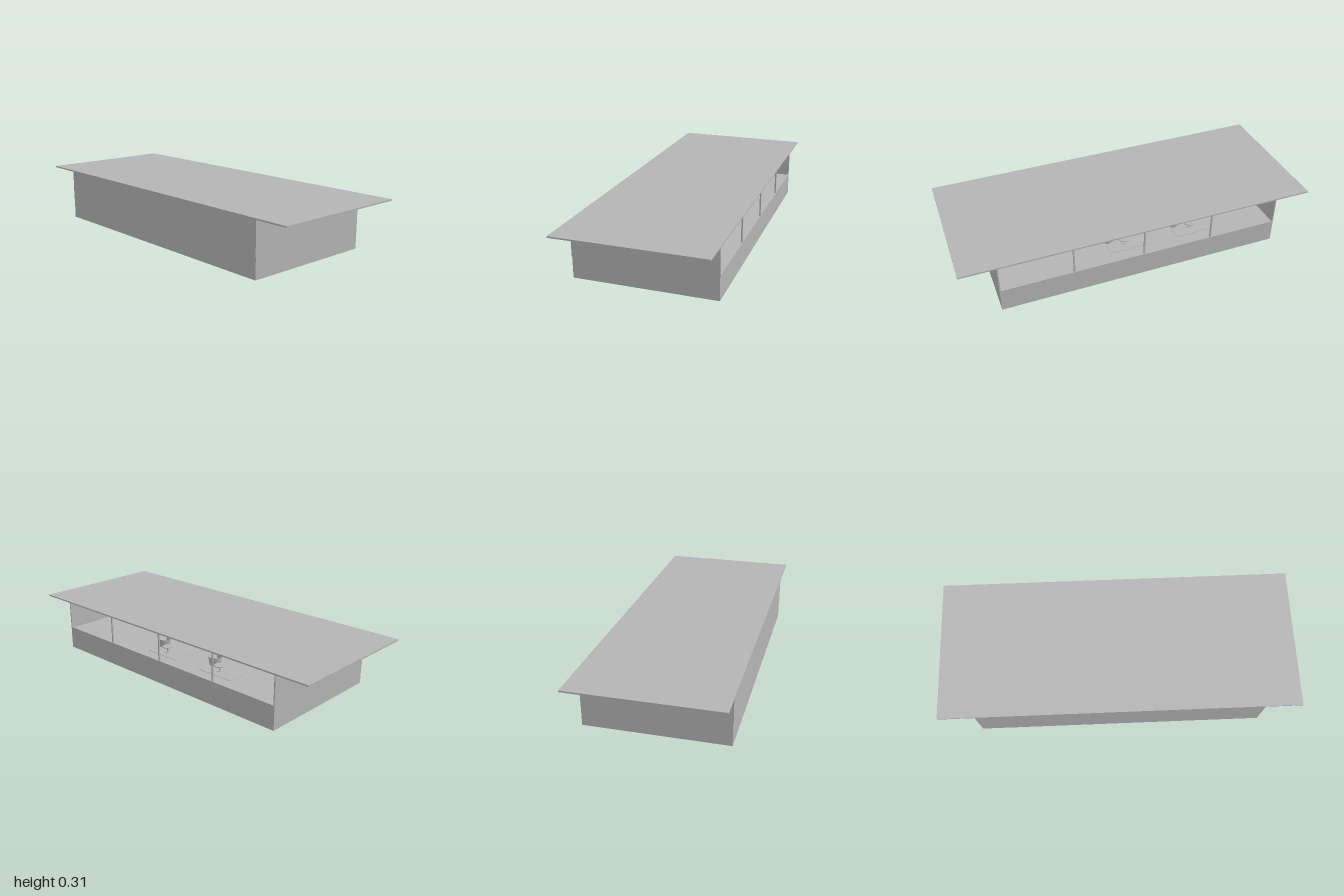
import * as THREE from 'three';

export function createModel() {
  const model = new THREE.Group();
  const grey = new THREE.MeshStandardMaterial({ color: 0xb4b4b4, side: THREE.DoubleSide });
  grey.name = 'plain grey';

  const add = (parent, name, geometry, x = 0, y = 0, z = 0) => {
    const mesh = new THREE.Mesh(geometry, grey);
    mesh.name = name;
    mesh.position.set(x, y, z);
    parent.add(mesh);
    return mesh;
  };
  // box given by its lower and upper limits on each axis
  const box = (parent, name, x0, x1, y0, y1, z0, z1) =>
    add(parent, name, new THREE.BoxGeometry(x1 - x0, y1 - y0, z1 - z0),
      (x0 + x1) / 2, (y0 + y1) / 2, (z0 + z1) / 2);
  const group = (name, x, y, z) => {
    const g = new THREE.Group();
    g.name = name;
    g.position.set(x, y, z);
    model.add(g);
    return g;
  };

  const floorY = 0.128, roofY = 0.297;

  // shell: plinth, floor, roof and three closed walls, open toward +x
  box(model, 'plinth', -0.386, 0.385, 0, 0.115, -0.805, 0.805);
  box(model, 'floor', -0.383, 0.385, 0.115, floorY, -0.8, 0.8);
  box(model, 'roof', -0.4, 0.4, roofY, 0.305, -1, 1);
  box(model, 'backWall', -0.388, -0.38, 0.115, roofY, -0.805, 0.805);
  for (const s of [-1, 1]) {
    const wall = box(model, 'endWall', -0.388, 0.385, 0.115, roofY, -0.0035, 0.0035);
    wall.position.z = s * 0.8015;
  }

  // window frame on the open side
  box(model, 'sill', 0.379, 0.386, floorY, 0.133, -0.798, 0.798);
  box(model, 'headRail', 0.375, 0.384, 0.288, roofY, -0.798, 0.798);
  box(model, 'innerRail', 0.33, 0.338, 0.288, roofY, -0.78, 0.78);
  for (const z of [-0.4, 0, 0.4])
    box(model, 'mullion', 0.376, 0.384, floorY, roofY, z - 0.004, z + 0.004);

  // shelves on the back wall
  for (const s of [-1, 1]) {
    for (const y of [0.2, 0.23, 0.257])
      box(model, 'shelf', -0.38, -0.34, y, y + 0.004, s * 0.095 - 0.09, s * 0.095 + 0.09);
    for (const z of [0.075, 0.125])
      box(model, 'shelfUpright', -0.378, -0.345, 0.195, 0.275, s * z - 0.003, s * z + 0.003);
  }
  box(model, 'wallLamp', -0.38, -0.36, 0.253, 0.261, -0.37, -0.33);
  box(model, 'tallCabinet', -0.38, -0.31, floorY, 0.235, 0.005, 0.08);

  // two seating areas, each with rug, barrel chair, round table and sofa
  for (const z of [0, -0.4]) {
    const area = group('seatingArea', 0, floorY, z);
    box(area, 'rug', 0.02, 0.31, 0, 0.002, -0.06, 0.17);

    const chair = new THREE.Group();
    chair.name = 'barrelChair';
    chair.position.set(0.2, 0, 0.15);
    area.add(chair);
    add(chair, 'chairSeat', new THREE.CylinderGeometry(0.033, 0.028, 0.022, 20), 0, 0.013, 0);
    add(chair, 'chairBack',
      new THREE.CylinderGeometry(0.038, 0.032, 0.045, 20, 1, true, Math.PI * 0.35, Math.PI * 1.3), 0, 0.026, 0);

    add(area, 'tableTop', new THREE.CylinderGeometry(0.03, 0.03, 0.004, 24), 0.25, 0.032, 0.07);
    add(area, 'tableStem', new THREE.CylinderGeometry(0.005, 0.005, 0.03, 12), 0.25, 0.016, 0.07);
    add(area, 'tableFoot', new THREE.CylinderGeometry(0.018, 0.018, 0.003, 24), 0.25, 0.003, 0.07);

    box(area, 'sofaSeat', 0.0, 0.07, 0.006, 0.026, -0.1, 0.02);
    box(area, 'sofaBack', -0.015, 0.0, 0.006, 0.052, -0.1, 0.02);
    for (const e of [-0.1, 0.01])
      box(area, 'sofaArm', 0.0, 0.07, 0.006, 0.038, e, e + 0.01);
  }

  // row of low armchairs further in
  for (const z of [0.32, 0.25, 0.18, -0.23, -0.43, -0.5]) {
    const chair = group('armchair', -0.12, floorY, z);
    box(chair, 'seat', -0.03, 0.03, 0.004, 0.022, -0.025, 0.025);
    box(chair, 'backrest', -0.038, -0.03, 0.004, 0.05, -0.028, 0.028);
    for (const s of [-1, 1])
      box(chair, 'armrest', -0.03, 0.025, 0.004, 0.035, s * 0.028 - 0.003, s * 0.028 + 0.003);
  }

  // desk
  const desk = group('desk', -0.15, floorY, -0.1);
  box(desk, 'deskTop', -0.035, 0.035, 0.034, 0.038, -0.055, 0.055);
  for (const s of [-1, 1])
    box(desk, 'deskLeg', -0.03, 0.03, 0, 0.034, s * 0.045 - 0.003, s * 0.045 + 0.003);

  // potted plants with spread leaves in the end bays
  for (const z of [-0.635, 0.635]) {
    const plant = group('plant', -0.2, floorY, z);
    add(plant, 'pot', new THREE.CylinderGeometry(0.012, 0.009, 0.018, 12), 0, 0.009, 0);
    for (let i = 0; i < 6; i++) {
      const leaf = add(plant, 'leaf', new THREE.ConeGeometry(0.004, 0.045, 5).translate(0, 0.0225, 0), 0, 0.014, 0);
      leaf.rotation.set(0.5, i * Math.PI / 3, 0, 'YXZ');
    }
  }
  return model;
}
